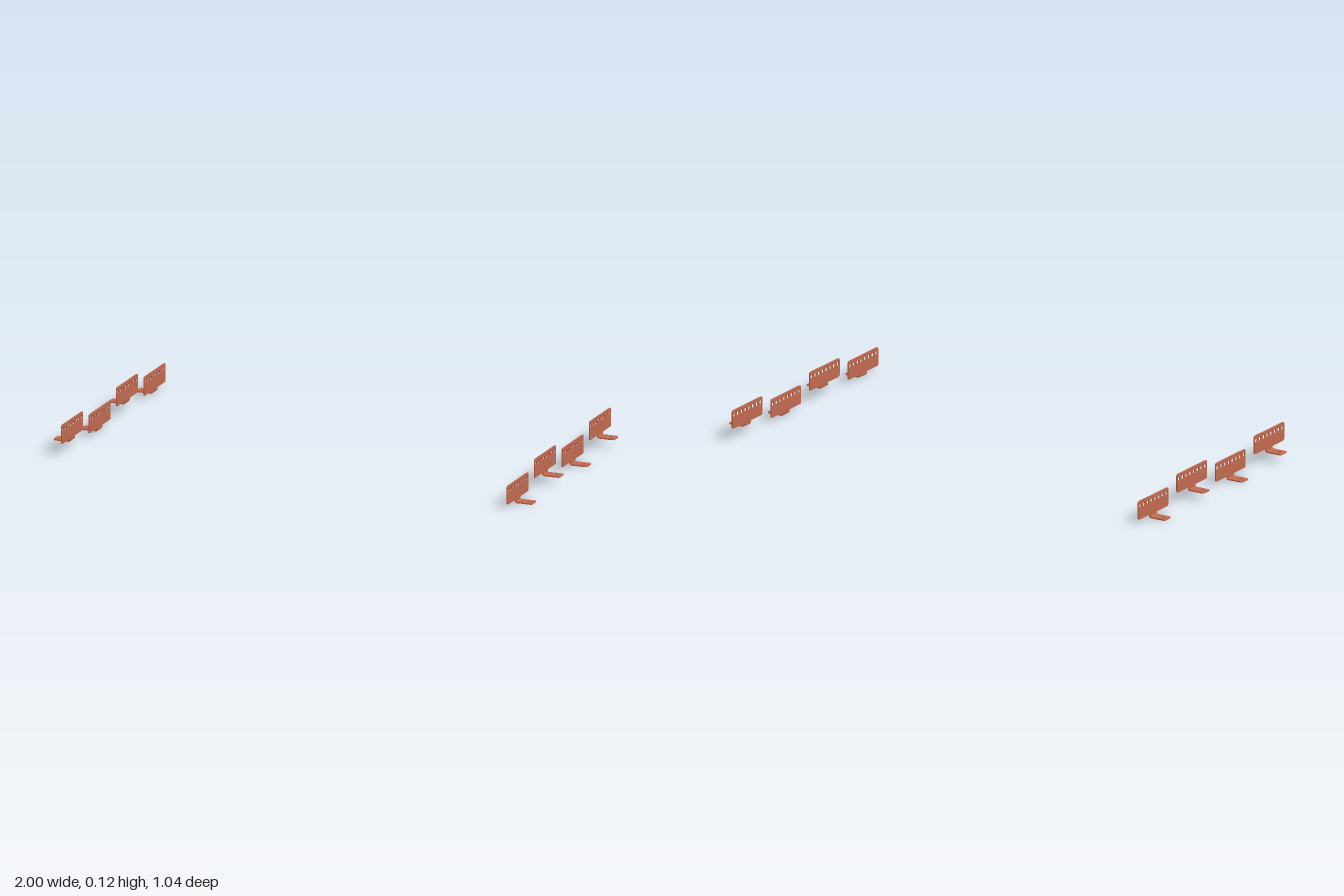
import * as THREE from 'three';

const T = 0.005;        // sheet thickness
const BEND = 0.009;     // outer bend radius
const HALF = 0.106;     // half plate width
const TAB = 0.0235;     // half tab width
const PLATE_X = 0.928;  // inner face of the plates
const LENGTH = 1 - PLATE_X;

const material = new THREE.MeshStandardMaterial({ color: 0xc1694f });

function addHole(shape, x, y, r) {
  const hole = new THREE.Path();
  hole.absarc(x, y, r, 0, Math.PI * 2, true);
  shape.holes.push(hole);
}

function extrude(shape, depth) {
  return new THREE.ExtrudeGeometry(shape, { depth, bevelEnabled: false, curveSegments: 12 });
}

// Upright plate with rounded corners, a row of eight holes and a neck leading to the bend
function plateGeometry() {
  const r = 0.008, bottom = 0.015, top = 0.09;
  const s = new THREE.Shape();
  s.moveTo(-TAB, BEND);
  s.lineTo(TAB, BEND);
  s.lineTo(TAB, bottom);
  s.lineTo(HALF - r, bottom);
  s.absarc(HALF - r, bottom + r, r, -Math.PI / 2, 0);
  s.absarc(HALF - r, top - r, r, 0, Math.PI / 2);
  s.absarc(-HALF + r, top - r, r, Math.PI / 2, Math.PI);
  s.absarc(-HALF + r, bottom + r, r, Math.PI, Math.PI * 1.5);
  s.lineTo(-TAB, bottom);
  s.closePath();
  for (let i = 0; i < 8; i++) addHole(s, (i - 3.5) * 0.0267, 0.069, 0.0085);
  return extrude(s, T).rotateY(Math.PI / 2);
}

// Quarter-round bend between plate and tab
function bendGeometry() {
  const s = new THREE.Shape();
  s.absarc(BEND, BEND, BEND, Math.PI, Math.PI * 1.5);
  s.absarc(BEND, BEND, BEND - T, Math.PI * 1.5, Math.PI, true);
  s.closePath();
  return extrude(s, TAB * 2).translate(0, 0, -TAB);
}

// Flat mounting tab with a screw hole and rounded outer corners
function tabGeometry() {
  const r = 0.008;
  const s = new THREE.Shape();
  s.moveTo(BEND, -TAB);
  s.lineTo(LENGTH - r, -TAB);
  s.absarc(LENGTH - r, -TAB + r, r, -Math.PI / 2, 0);
  s.absarc(LENGTH - r, TAB - r, r, 0, Math.PI / 2);
  s.lineTo(BEND, TAB);
  s.closePath();
  addHole(s, 0.049, 0, 0.007);
  return extrude(s, T).rotateX(-Math.PI / 2);
}

export function createModel() {
  const model = new THREE.Group();
  model.name = 'brackets';
  const parts = { plate: plateGeometry(), bend: bendGeometry(), tab: tabGeometry() };

  // Two rows of four brackets, alternating low and high, opposite between rows
  for (const side of [1, -1]) {
    [0.4135, 0.138, -0.138, -0.4135].forEach((z, i) => {
      const high = (i % 2 === 1) === (side === 1);
      const bracket = new THREE.Group();
      bracket.name = `${side > 0 ? 'left' : 'right'}${high ? 'High' : 'Low'}Bracket${i + 1}`;
      for (const [name, geometry] of Object.entries(parts)) {
        const mesh = new THREE.Mesh(geometry, material);
        mesh.name = name;
        bracket.add(mesh);
      }
      bracket.position.set(side * PLATE_X, high ? 0.033 : 0, z);
      if (side < 0) bracket.rotation.y = Math.PI;
      model.add(bracket);
    });
  }
  return model;
}
